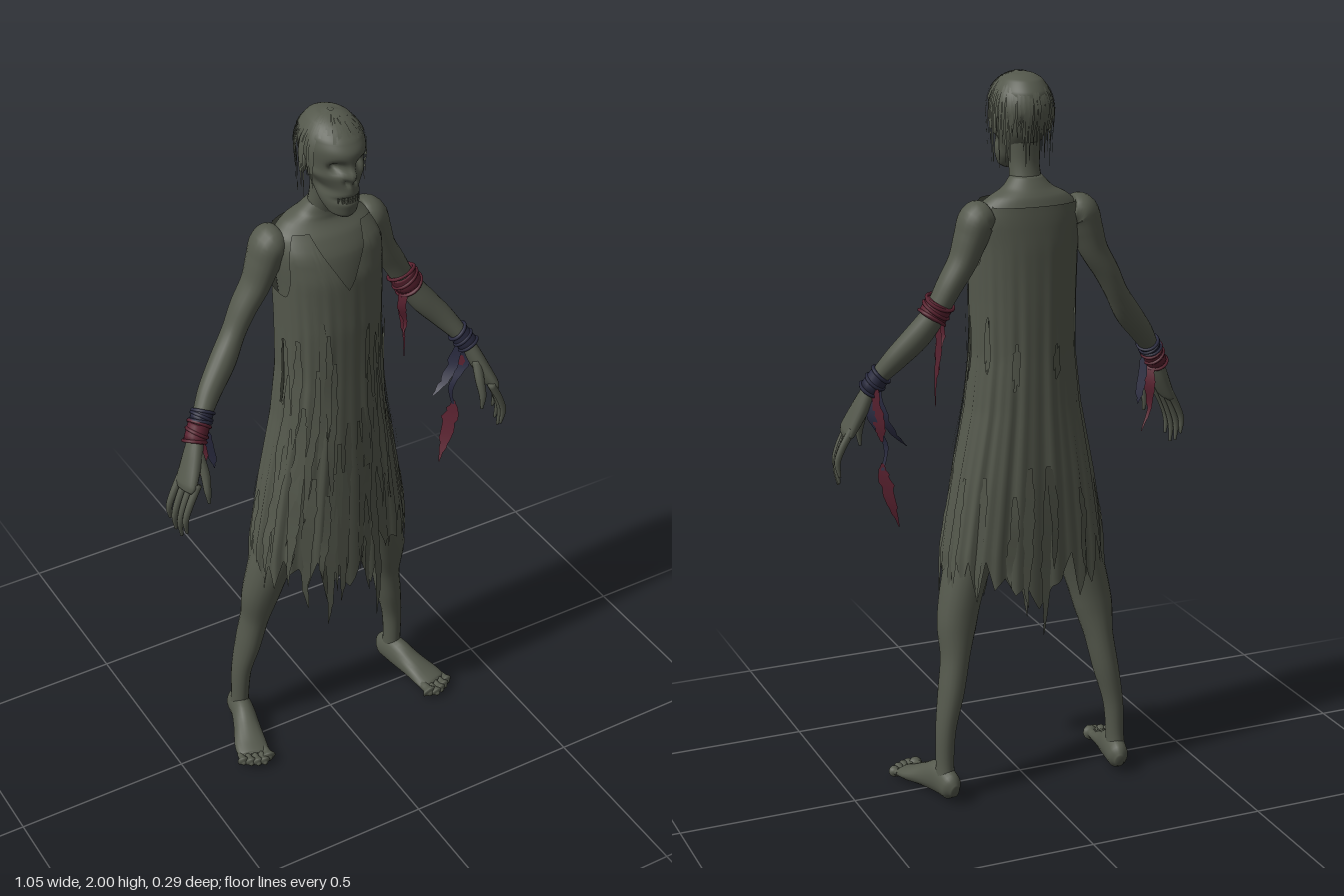
import * as THREE from 'three';
import { mergeGeometries } from 'three/addons/utils/BufferGeometryUtils.js';

const V = (x, y, z) => new THREE.Vector3(x, y, z);
const UP = V(0, 1, 0), FRONT = V(0, 0, 1);
const mat = (name, color, side = THREE.FrontSide) => {
  const m = new THREE.MeshStandardMaterial({ color, side });
  m.name = name;
  return m;
};

export function createModel() {
  const model = new THREE.Group();
  const skin = mat('grey green', 0x54584c, THREE.DoubleSide);
  const red = mat('dark red', 0x5a2230, THREE.DoubleSide);
  const navy = mat('dark navy', 0x2a2b40, THREE.DoubleSide);
  let seed = 7;
  const rand = () => (seed = (seed * 16807) % 2147483647) / 2147483647;
  const add = (name, geo, m = skin) => {
    const mesh = new THREE.Mesh(geo, m);
    mesh.name = name;
    model.add(mesh);
    return mesh;
  };
  const build = (pos, index) => {
    const g = new THREE.BufferGeometry();
    g.setAttribute('position', new THREE.Float32BufferAttribute(pos, 3));
    g.setIndex(index);
    g.computeVertexNormals();
    return g;
  };

  // Closed sweep through [x, y, z, radiusA, radiusB]; level keeps the rings horizontal
  function sweep(pts, { seg = 20, steps = pts.length * 5, ref = FRONT, level = false, shape } = {}) {
    const path = new THREE.CatmullRomCurve3(pts.map(p => V(p[0], p[1], p[2])));
    const size = new THREE.CatmullRomCurve3(pts.map(p => V(p[3], p[4], 0)));
    const pos = [], idx = [];
    for (let i = 0; i <= steps; i++) {
      const c = path.getPoint(i / steps), r = size.getPoint(i / steps);
      const T = level ? UP : path.getTangent(i / steps);
      const N = T.clone().cross(ref).normalize(), B = T.clone().cross(N);
      for (let j = 0; j < seg; j++) {
        const a = j / seg * Math.PI * 2;
        const p = c.clone().addScaledVector(N, Math.cos(a) * Math.max(r.x, 0.0005))
          .addScaledVector(B, Math.sin(a) * Math.max(r.y, 0.0005));
        if (shape) shape(p);
        pos.push(p.x, p.y, p.z);
        if (i < steps) {
          const k = i * seg, n = (j + 1) % seg;
          idx.push(k + j, k + n, k + seg + j, k + n, k + seg + n, k + seg + j);
        }
      }
    }
    const s = pos.length / 3, last = steps * seg;
    const a = path.getPoint(0), b = path.getPoint(1);
    pos.push(a.x, a.y, a.z, b.x, b.y, b.z);
    for (let j = 0; j < seg; j++) {
      const n = (j + 1) % seg;
      idx.push(s, n, j, s + 1, last + j, last + n);
    }
    return build(pos, idx);
  }

  // Ragged cloth ribbon through [x, y, z, halfWidth], spread along dir
  function ribbon(pts, dir, steps = 12) {
    const path = new THREE.CatmullRomCurve3(pts.map(p => V(p[0], p[1], p[2])));
    const wide = new THREE.CatmullRomCurve3(pts.map(p => V(p[3], 0, 0)));
    const pos = [], idx = [];
    for (let i = 0; i <= steps; i++) {
      const c = path.getPoint(i / steps), w = Math.max(wide.getPoint(i / steps).x, 0.0003);
      for (const s of [-1, 1]) {
        const p = c.clone().addScaledVector(dir, s * w * (0.7 + 0.6 * rand()));
        pos.push(p.x, p.y, p.z);
      }
      if (i < steps) idx.push(2 * i, 2 * i + 1, 2 * i + 2, 2 * i + 1, 2 * i + 3, 2 * i + 2);
    }
    return build(pos, idx);
  }
  const bell = (v, c, w) => Math.exp(-(((v - c) / w) ** 2));

  // Head: gaunt skull with sunken eyes, cheeks and mouth
  add('head', sweep([
    [0, 1.735, 0.065, 0.02, 0.024], [0, 1.745, 0.056, 0.036, 0.042], [0, 1.77, 0.041, 0.048, 0.062],
    [0, 1.8, 0.028, 0.055, 0.08], [0, 1.84, 0.01, 0.065, 0.096], [0, 1.88, 0.004, 0.073, 0.105],
    [0, 1.92, 0.004, 0.077, 0.109], [0, 1.95, -0.002, 0.073, 0.098], [0, 1.98, -0.008, 0.053, 0.067],
    [0, 1.993, -0.012, 0.03, 0.034], [0, 1.997, -0.012, 0.002, 0.002]],
  { seg: 72, steps: 70, level: true, shape: p => {
    const ax = Math.abs(p.x), face = THREE.MathUtils.smoothstep(p.z, 0.03, 0.08);
    p.z -= 0.032 * face * bell(ax, 0.032, 0.016) * bell(p.y, 1.882, 0.015);
    p.z += 0.018 * face * bell(p.x, 0, 0.011) * bell(p.y, 1.862, 0.02);
    p.z -= 0.012 * face * bell(ax, 0.011, 0.006) * bell(p.y, 1.84, 0.009);
    p.z -= 0.014 * face * bell(p.x, 0, 0.035) * bell(p.y, 1.79, 0.008);
    const side = THREE.MathUtils.smoothstep(p.z, 0, 0.03);
    p.x *= 1 + side * (0.08 * bell(p.y, 1.855, 0.013) - 0.16 * bell(p.y, 1.815, 0.018));
  } }));
  const teeth = [];
  for (let i = -3; i <= 3; i++) for (const y of [1.796, 1.784]) {
    teeth.push(new THREE.BoxGeometry(0.007, 0.01, 0.008).translate(i * 0.009, y, 0.1 - 0.0016 * i * i));
  }
  add('teeth', mergeGeometries(teeth));
  for (const s of [-1, 1]) {
    add('ear', new THREE.SphereGeometry(1, 12, 10).scale(0.008, 0.028, 0.016).translate(s * 0.075, 1.865, -0.012));
  }

  // Hair: thin strands draped over the skull and hanging at the sides and back
  const hair = [];
  for (let i = 0; i < 64; i++) {
    const f = i / 64 * Math.PI * 2 + rand() * 0.1, cf = Math.cos(f), sf = Math.sin(f);
    const end = sf > 0.45 ? 0.7 + rand() * 0.4 : 1.6, lift = 1 + rand() * 0.05, pts = [];
    for (let k = 0; k <= 4; k++) {
      const a = 0.08 + (end - 0.08) * k / 4;
      pts.push([0.085 * lift * Math.sin(a) * cf, 1.9 + 0.099 * Math.cos(a),
        -0.002 + 0.109 * lift * Math.sin(a) * sf, 0.001 + 0.004 * Math.sin(a)]);
    }
    if (end > 1.5) {
      const drop = 0.05 + rand() * 0.1;
      pts.push([0.086 * cf, 1.9 - drop / 2, 0.1 * sf, 0.003], [0.084 * cf, 1.9 - drop, 0.098 * sf, 0.0005]);
    }
    hair.push(ribbon(pts, V(-sf, 0, cf), 14));
  }
  add('hair', mergeGeometries(hair));

  // Neck and torso
  add('neck', sweep([[0, 1.64, -0.055, 0.055, 0.05], [0, 1.7, -0.042, 0.045, 0.041],
    [0, 1.76, -0.028, 0.041, 0.04], [0, 1.84, -0.02, 0.045, 0.05]], { level: true }));
  add('torso', sweep([[0, 0.86, -0.02, 0.12, 0.07], [0, 0.92, -0.02, 0.15, 0.09], [0, 1.05, -0.02, 0.138, 0.1],
    [0, 1.2, -0.02, 0.12, 0.1], [0, 1.35, -0.02, 0.122, 0.1], [0, 1.5, -0.025, 0.135, 0.106],
    [0, 1.6, -0.034, 0.146, 0.098], [0, 1.65, -0.045, 0.14, 0.08], [0, 1.68, -0.054, 0.108, 0.06],
    [0, 1.7, -0.05, 0.07, 0.05], [0, 1.73, -0.04, 0.042, 0.038]], { seg: 40, level: true }));

  // Dress surface: [height, centre z, half width, half depth]
  const rings = [[1.68, -0.052, 0.135, 0.075], [1.62, -0.03, 0.157, 0.103], [1.55, -0.02, 0.15, 0.116],
    [1.4, -0.015, 0.145, 0.121], [1.25, -0.015, 0.143, 0.12], [1.1, -0.015, 0.16, 0.121],
    [0.9, -0.015, 0.2, 0.124], [0.7, -0.015, 0.233, 0.124], [0.3, -0.015, 0.25, 0.122]];
  const surf = (a, y, off = 0) => {
    let i = 0;
    while (i < rings.length - 2 && y < rings[i + 1][0]) i++;
    const [p, q] = [rings[i], rings[i + 1]], t = (p[0] - y) / (p[0] - q[0]);
    const mix = k => p[k] + (q[k] - p[k]) * t, pow = v => Math.sign(v) * Math.abs(v) ** 0.9;
    const fold = 0.0035 * THREE.MathUtils.clamp(1.6 - y, 0, 1) * (Math.sin(17 * a) + Math.sin(29 * a + 2)) + off;
    return V(pow(Math.cos(a)) * (mix(2) + fold), y, mix(1) + pow(Math.sin(a)) * (mix(3) + fold));
  };
  const cols = 144, rows = 56, F = Math.PI / 2;
  const teethY = Array.from({ length: 48 }, (_, i) => 0.64 + (i % 2 ? 0.04 : -0.04) + (rand() - 0.5) * 0.09);
  const hem = a => {
    const t = a / (2 * Math.PI) * 48, i = Math.floor(t) % 48, f = t - Math.floor(t);
    return teethY[i] * (1 - f) + teethY[(i + 1) % 48] * f - 0.09 * bell(a, F, 0.35) - 0.06 * bell(a, 3 * F, 0.3);
  };
  const neckline = a => {
    const c = Math.abs(Math.cos(a));
    if (c > 0.8) return 1.67 - 0.17 * THREE.MathUtils.smoothstep(c, 0.8, 0.97);
    return Math.sin(a) > 0 ? Math.min(1.67, 1.52 + 0.3 * c) : 1.66;
  };
  // Tears: [angle, height, half angle, half height]
  const holes = [[0.15, 1.27, 0.1, 0.09], [2.98, 1.27, 0.1, 0.1], [4.35, 1.25, 0.06, 0.04], [5.1, 1.24, 0.06, 0.06],
    [1.2, 1.33, 0.05, 0.08], [1.9, 1.12, 0.04, 0.07], [5.75, 1.3, 0.07, 0.07], [3.7, 1.33, 0.07, 0.06]];
  const pos = [], idx = [];
  for (let i = 0; i <= rows; i++) for (let j = 0; j < cols; j++) {
    const a = j / cols * Math.PI * 2, y = neckline(a) + (hem(a) - neckline(a)) * i / rows;
    const p = surf(a, y);
    pos.push(p.x, p.y, p.z);
    if (i === rows || holes.some(h => ((a - h[0]) / h[2]) ** 2 + ((y - h[1]) / h[3]) ** 2 < 1)) continue;
    const k = i * cols, n = (j + 1) % cols;
    idx.push(k + j, k + n, k + cols + j, k + n, k + cols + n, k + cols + j);
  }
  add('dress', build(pos, idx));

  // Tattered strips hanging over the dress
  const tatters = [];
  const tatter = (a, top, bottom, w) => {
    const pts = [0, 0.3, 0.6, 0.85, 1].map((t, k) => {
      const p = surf(a + (rand() - 0.5) * 0.05, top + (bottom - top) * t, 0.003 + 0.006 * rand());
      return [p.x, p.y, p.z, w * [0.4, 1, 0.9, 0.5, 0.05][k]];
    });
    tatters.push(ribbon(pts, V(-Math.sin(a), 0, Math.cos(a)), 16));
  };
  for (let i = 0; i < 22; i++) {
    const top = 1.45 - rand() * 0.5;
    tatter(0.25 + 2.65 * (i + rand() * 0.5) / 22, top, top - 0.3 - rand() * 0.25, 0.007 + rand() * 0.008);
  }
  for (let i = 0; i < 14; i++) tatter(i / 14 * Math.PI * 2 + 0.1, 0.95 - rand() * 0.1, 0.57 + rand() * 0.1, 0.013);
  for (const [a, b] of [[1.25, 0.4], [1.35, 0.5], [1.65, 0.5], [1.8, 0.42], [4.65, 0.46], [4.85, 0.55], [2.1, 0.5]]) {
    tatter(a, 0.95, b, 0.016);
  }
  add('dressTatters', mergeGeometries(tatters));

  for (const s of [1, -1]) {
    const limb = (name, pts, opt) => add(name, sweep(pts.map(([x, ...r]) => [s * x, ...r]), opt));
    // Arm, palm, fingers and thumb
    limb('arm', [[0.115, 1.635, -0.06, 0.035, 0.045], [0.145, 1.625, -0.06, 0.05, 0.058],
      [0.165, 1.58, -0.06, 0.045, 0.054], [0.188, 1.52, -0.06, 0.038, 0.047], [0.227, 1.455, -0.06, 0.034, 0.042],
      [0.262, 1.39, -0.054, 0.031, 0.036], [0.305, 1.325, -0.036, 0.036, 0.036], [0.36, 1.26, -0.01, 0.032, 0.031],
      [0.405, 1.2, 0.02, 0.023, 0.025], [0.425, 1.165, 0.03, 0.021, 0.024]]);
    limb('palm', [[0.418, 1.18, 0.028, 0.019, 0.022], [0.445, 1.115, 0.047, 0.022, 0.036],
      [0.474, 1.055, 0.065, 0.018, 0.044], [0.482, 1.04, 0.068, 0.01, 0.036]]);
    for (let i = 0; i < 4; i++) {
      const z = 0.033 + i * 0.022, len = [0.1, 0.125, 0.135, 0.115][i], x = 0.482 - i * 0.005;
      limb('finger', [[x - 0.01, 1.065, z, 0.011, 0.011], [x + 0.02, 1.045 - len * 0.35, z + 0.004, 0.01, 0.0095],
        [x + 0.032, 1.045 - len * 0.7, z + 0.004, 0.009, 0.008], [x + 0.028, 1.035 - len, z, 0.004, 0.004]], { seg: 10 });
    }
    limb('thumb', [[0.432, 1.13, 0.06, 0.014, 0.014], [0.428, 1.08, 0.085, 0.013, 0.013],
      [0.43, 1.035, 0.1, 0.01, 0.01], [0.427, 0.995, 0.102, 0.004, 0.004]], { seg: 10 });

    // Leg, foot and toes
    limb('leg', [[0.085, 0.95, -0.025, 0.07, 0.075], [0.12, 0.8, -0.02, 0.072, 0.075], [0.168, 0.65, -0.022, 0.064, 0.068],
      [0.193, 0.56, -0.03, 0.059, 0.06], [0.207, 0.49, -0.04, 0.055, 0.053], [0.219, 0.4, -0.056, 0.04, 0.046],
      [0.235, 0.31, -0.066, 0.036, 0.045], [0.256, 0.2, -0.076, 0.028, 0.034], [0.261, 0.1, -0.08, 0.025, 0.03],
      [0.262, 0.045, -0.085, 0.028, 0.034]]);
    limb('foot', [[0.252, 0.035, -0.137, 0.012, 0.018], [0.256, 0.042, -0.115, 0.029, 0.04],
      [0.265, 0.05, -0.06, 0.033, 0.049], [0.282, 0.037, 0, 0.039, 0.035], [0.3, 0.024, 0.055, 0.047, 0.022],
      [0.307, 0.018, 0.088, 0.046, 0.015], [0.309, 0.017, 0.095, 0.035, 0.01]], { ref: UP });
    for (let i = 0; i < 5; i++) {
      const x = 0.272 + i * 0.018, z = [0.128, 0.138, 0.132, 0.122, 0.108][i], r = i ? 0.009 : 0.013;
      limb('toe', [[x, 0.018, 0.07, r, r], [x + 0.002, 0.019, z - 0.025, r, r],
        [x + 0.004, 0.013, z - 0.006, r, r], [x + 0.004, 0.01, z, r * 0.5, r * 0.5]], { seg: 10, ref: UP });
    }
  }

  // Cloth wraps: a sleeve with loose tilted hoops
  function wrap(name, m, a, b, r) {
    add(name, sweep([[...a, r, r], [...b, r, r]], { steps: 4 }), m);
    const A = V(...a), B = V(...b), T = B.clone().sub(A).normalize();
    for (const t of [0, 0.5, 1]) {
      const hoop = add(name + 'Hoop', new THREE.TorusGeometry(r, 0.005, 6, 24), m);
      hoop.position.copy(A).lerp(B, t);
      hoop.quaternion.setFromUnitVectors(FRONT, T.clone().add(V((rand() - 0.5) * 0.5, 0, (rand() - 0.5) * 0.5)).normalize());
    }
  }
  wrap('elbowWrap', red, [0.252, 1.412, -0.056], [0.273, 1.372, -0.05], 0.039);
  wrap('leftWristWrap', navy, [0.395, 1.214, 0.013], [0.422, 1.172, 0.029], 0.029);
  wrap('rightForearmWrap', navy, [-0.39, 1.222, 0.01], [-0.404, 1.202, 0.019], 0.029);
  wrap('rightWristWrap', red, [-0.408, 1.196, 0.021], [-0.43, 1.155, 0.034], 0.03);

  // Hanging ends of the wraps
  const hang = (name, m, ...pts) => add(name, ribbon(pts, V(0.6, 0, 0.8), 16), m);
  hang('elbowRibbon', red, [0.25, 1.39, -0.03, 0.008], [0.24, 1.32, -0.03, 0.012], [0.255, 1.26, -0.035, 0.006], [0.245, 1.22, -0.03, 0.001]);
  hang('elbowRibbon', red, [0.262, 1.38, -0.06, 0.007], [0.26, 1.28, -0.065, 0.009], [0.268, 1.2, -0.06, 0.004], [0.27, 1.13, -0.06, 0.001]);
  hang('leftWristRibbon', navy, [0.41, 1.2, 0.01, 0.01], [0.395, 1.1, 0, 0.016], [0.36, 1.04, 0, 0.01], [0.33, 1.01, 0, 0.002]);
  hang('leftWristRibbon', navy, [0.42, 1.19, 0.02, 0.012], [0.425, 1.1, 0.01, 0.015], [0.39, 1.02, 0, 0.008], [0.4, 0.95, 0, 0.004]);
  hang('leftWristRibbon', red, [0.42, 1.18, 0, 0.012], [0.41, 1.08, -0.005, 0.018], [0.4, 1.03, 0, 0.004]);
  hang('leftWristTail', red, [0.4, 0.97, 0, 0.004], [0.393, 0.92, 0, 0.022], [0.375, 0.85, 0, 0.015], [0.352, 0.78, 0.01, 0.001]);
  hang('rightWristRibbon', navy, [-0.4, 1.2, 0.03, 0.01], [-0.385, 1.13, 0.03, 0.015], [-0.375, 1.07, 0.025, 0.01], [-0.37, 1.04, 0.025, 0.001]);
  hang('rightWristRibbon', red, [-0.415, 1.17, 0.02, 0.01], [-0.4, 1.1, 0.015, 0.015], [-0.405, 1.03, 0.02, 0.008], [-0.38, 0.96, 0.02, 0.001]);
  return model;
}
